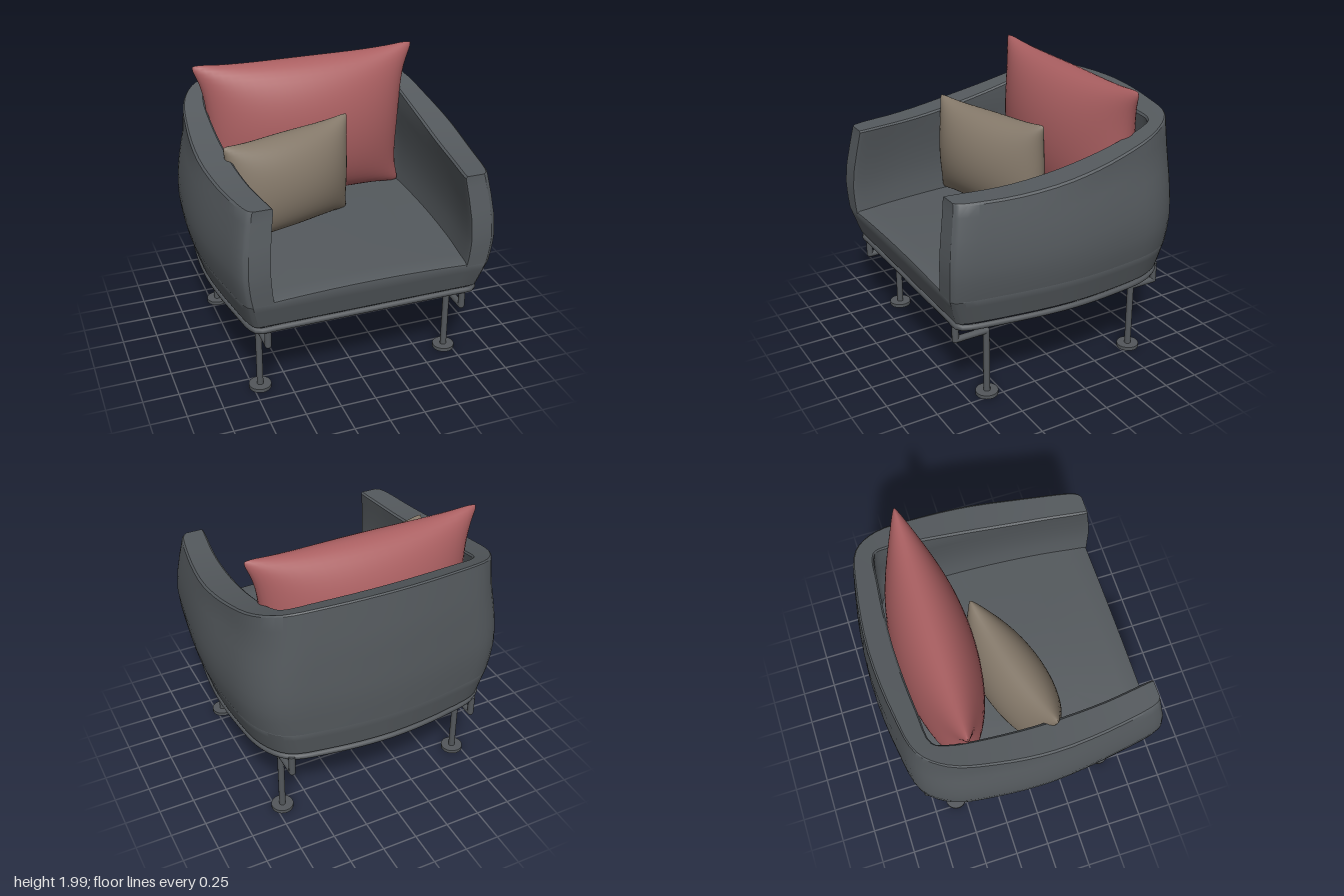
import * as THREE from 'three';
import { mergeVertices, toCreasedNormals } from 'three/addons/utils/BufferGeometryUtils.js';

const V = (x, y, z) => new THREE.Vector3(x, y, z);

// Piecewise-linear lookup in [[key, value], ...]
function lookup(table, k) {
  for (let i = 1; i < table.length; i++) {
    const [a, va] = table[i - 1], [b, vb] = table[i];
    if (k <= b) return THREE.MathUtils.lerp(va, vb, THREE.MathUtils.clamp((k - a) / (b - a), 0, 1));
  }
  return table[table.length - 1][1];
}

// How the plan outline swells and narrows with height
const SIDE = [[0.645, 0.91], [0.86, 0.972], [0.95, 0.99], [1.06, 1], [1.2, 0.992], [1.35, 0.968], [1.5, 0.935], [1.8, 0.915]];
const FRONT = [[0.645, 0.922], [0.86, 0.992], [1.05, 1], [1.2, 0.985], [1.5, 0.93]];
const BACK = [[0.645, 0.945], [0.86, 0.985], [1.1, 1], [1.5, 0.98], [1.8, 0.943]];
const place = (p, y) => V(p.x * lookup(SIDE, y), y, p.z * lookup(p.z > 0 ? FRONT : BACK, y));

// Height of the sloping top edge
const topHeight = (z) => 1.5 + 0.3 * Math.pow(Math.max(0, (0.6 - z) / 1.47), 1.8);

// Half plan from front to back centre, mirrored to the other side
function uPath(half, samples) {
  const right = half.map(([x, z]) => V(x, 0, z));
  const left = half.slice(0, -1).reverse().map(([x, z]) => V(-x, 0, z));
  return new THREE.CatmullRomCurve3([...right, ...left]).getPoints(samples);
}
const N = 64;
const OUTER = uPath([[0.84, 0.925], [0.875, 0.895], [0.94, 0.6], [1, 0.1], [0.985, -0.3], [0.925, -0.63], [0.79, -0.81], [0.5, -0.885], [0, -0.93]], N);
const INNER = uPath([[0.695, 0.925], [0.695, 0.895], [0.74, 0.55], [0.775, 0.1], [0.785, -0.3], [0.775, -0.58], [0.74, -0.685], [0.5, -0.72], [0, -0.75]], N);

// Skin over a list of closed loops
function loft(rings, crease = 0.6) {
  const n = rings[0].length, pos = [], index = [];
  rings.forEach((r) => r.forEach((p) => pos.push(p.x, p.y, p.z)));
  for (let k = 0; k < rings.length - 1; k++) {
    for (let j = 0; j < n; j++) {
      const a = k * n + j, b = k * n + (j + 1) % n;
      index.push(a, a + n, b + n, a, b + n, b);
    }
  }
  const g = new THREE.BufferGeometry();
  g.setAttribute('position', new THREE.Float32BufferAttribute(pos, 3));
  g.setIndex(index);
  return toCreasedNormals(g, crease);
}

// Wrap-around arms and back: one upright section per station of the plan
function shellGeometry() {
  const steps = 9, y0 = 0.855;
  const wall = (p) => {
    const top = topHeight(p.z * 0.95) - 0.012;
    return Array.from({ length: steps + 1 }, (_, i) => place(p, y0 + (top - y0) * i / steps));
  };
  const sections = OUTER.map((o, i) => {
    const out = wall(o), inn = wall(INNER[i]);
    const a = out[steps], b = inn[steps];
    const edgeOut = a.clone().lerp(b, 0.07), edgeIn = a.clone().lerp(b, 0.93);
    edgeOut.y += 0.012;
    edgeIn.y += 0.012;
    return [...out, edgeOut, edgeIn, ...inn.reverse()];
  });
  const cap = (s) => s.map((p, j) => p.clone().lerp(s[s.length - 1 - j], 0.5));
  return loft([cap(sections[0]), ...sections, cap(sections[N])]);
}

// Seat base: the full outline, closed by a straight front
function outline() {
  const front = [];
  for (let i = 1; i < 12; i++) front.push(V(-0.84 + 1.68 * i / 12, 0, 0.925));
  return [...OUTER, ...front];
}
function baseGeometry() {
  const levels = [[0.645, 0], [0.645, 0.98], [0.66, 1], [0.73, 1], [0.8, 1], [0.85, 1], [0.863, 0.993], [0.87, 0.97], [0.873, 0.85], [0.876, 0.5], [0.878, 0]];
  const loop = outline().reverse();
  return loft(levels.map(([y, s]) => loop.map((p) => {
    const q = place(p, y);
    q.x *= s;
    q.z *= s;
    // gentle crown on the sitting surface
    if (y > 0.86) q.y += 0.022 * Math.max(0, 1 - (q.x / 0.7) ** 2);
    return q;
  })));
}

// Stuffed cushion with drawn-in edges and pulled corners
function cushionGeometry(hw, hh, depth, pinchX, pinchY, taper) {
  const pos = [], index = [], n = 28;
  for (const side of [1, -1]) {
    const start = pos.length / 3;
    for (let j = 0; j <= n; j++) {
      for (let i = 0; i <= n; i++) {
        const a = (i / n - 0.5) * Math.PI, b = (j / n - 0.5) * Math.PI;
        const u = Math.sin(a), v = Math.sin(b);
        const x = u * hw * (1 - pinchX * (1 - v ** 4)) * (1 - 0.03 * v ** 24) * (1 - taper * (1 - v) / 2);
        const y = v * hh * (1 - pinchY * (1 - u ** 4)) * (1 - 0.03 * u ** 24);
        pos.push(x, y, side * depth * Math.cos(a) * Math.cos(b));
        if (i < n && j < n) {
          const p = start + j * (n + 1) + i, q = p + n + 1;
          if (side > 0) index.push(p, p + 1, q + 1, p, q + 1, q);
          else index.push(p, q + 1, p + 1, p, q, q + 1);
        }
      }
    }
  }
  const g = new THREE.BufferGeometry();
  g.setAttribute('position', new THREE.Float32BufferAttribute(pos, 3));
  g.setIndex(index);
  const merged = mergeVertices(g, 1e-5);
  merged.computeVertexNormals();
  return merged;
}

export function createModel() {
  const model = new THREE.Group();
  const material = (name, color) => Object.assign(new THREE.MeshStandardMaterial({ color }), { name });
  const fabric = material('greyFabric', 0x555a5e);
  const metal = material('greyMetal', 0x53575b);
  const red = material('redFabric', 0xaa5f61);
  const tan = material('tanFabric', 0x85796a);

  const add = (name, geometry, mat, parent = model) => {
    const mesh = new THREE.Mesh(geometry, mat);
    mesh.name = name;
    parent.add(mesh);
    return mesh;
  };

  add('armsAndBack', shellGeometry(), fabric);
  add('seatBase', baseGeometry(), fabric);

  // Cushions
  add('largeCushion', cushionGeometry(0.845, 0.57, 0.275, 0.1, 0.07, 0.09), red).position.set(0.01, 1.435, -0.45);
  const small = add('smallCushion', cushionGeometry(0.52, 0.38, 0.22, 0.06, 0.08, 0), tan);
  small.position.set(-0.28, 1.255, 0.01);
  small.rotation.y = 0.29;

  // Tubular under-frame
  const rail = outline().map((p) => {
    const q = place(p, 0.65);
    return V(q.x * 0.985, 0.622, q.z * 0.983);
  });
  add('frameRail', new THREE.TubeGeometry(new THREE.CatmullRomCurve3(rail, true), 160, 0.021, 8, true), metal);

  const bar = (name, a, b, r, parent) => {
    const mesh = add(name, new THREE.CylinderGeometry(r, r, a.distanceTo(b), 12), metal, parent);
    mesh.position.copy(a).lerp(b, 0.5);
    mesh.quaternion.setFromUnitVectors(V(0, 1, 0), b.clone().sub(a).normalize());
  };
  bar('crossBar', V(-0.89, 0.622, 0), V(0.89, 0.622, 0), 0.019, model);

  // Cranked legs with round feet
  for (const x of [-0.7, 0.7]) {
    for (const [name, zTop, zFoot] of [['frontLeg', 0.828, 0.6], ['backLeg', -0.772, -0.575]]) {
      const leg = new THREE.Group();
      leg.name = name;
      const path = [V(x, 0.63, zTop), V(x, 0.493, zTop), V(x, 0.493, zFoot), V(x, 0.01, zFoot)];
      for (let i = 0; i < 3; i++) bar('legTube', path[i], path[i + 1], 0.023, leg);
      for (const p of [path[1], path[2]]) add('legElbow', new THREE.SphereGeometry(0.0235, 12, 8), metal, leg).position.copy(p);
      add('foot', new THREE.CylinderGeometry(0.078, 0.078, 0.026, 24), metal, leg).position.set(x, 0.013, zFoot);
      model.add(leg);
    }
  }
  return model;
}
